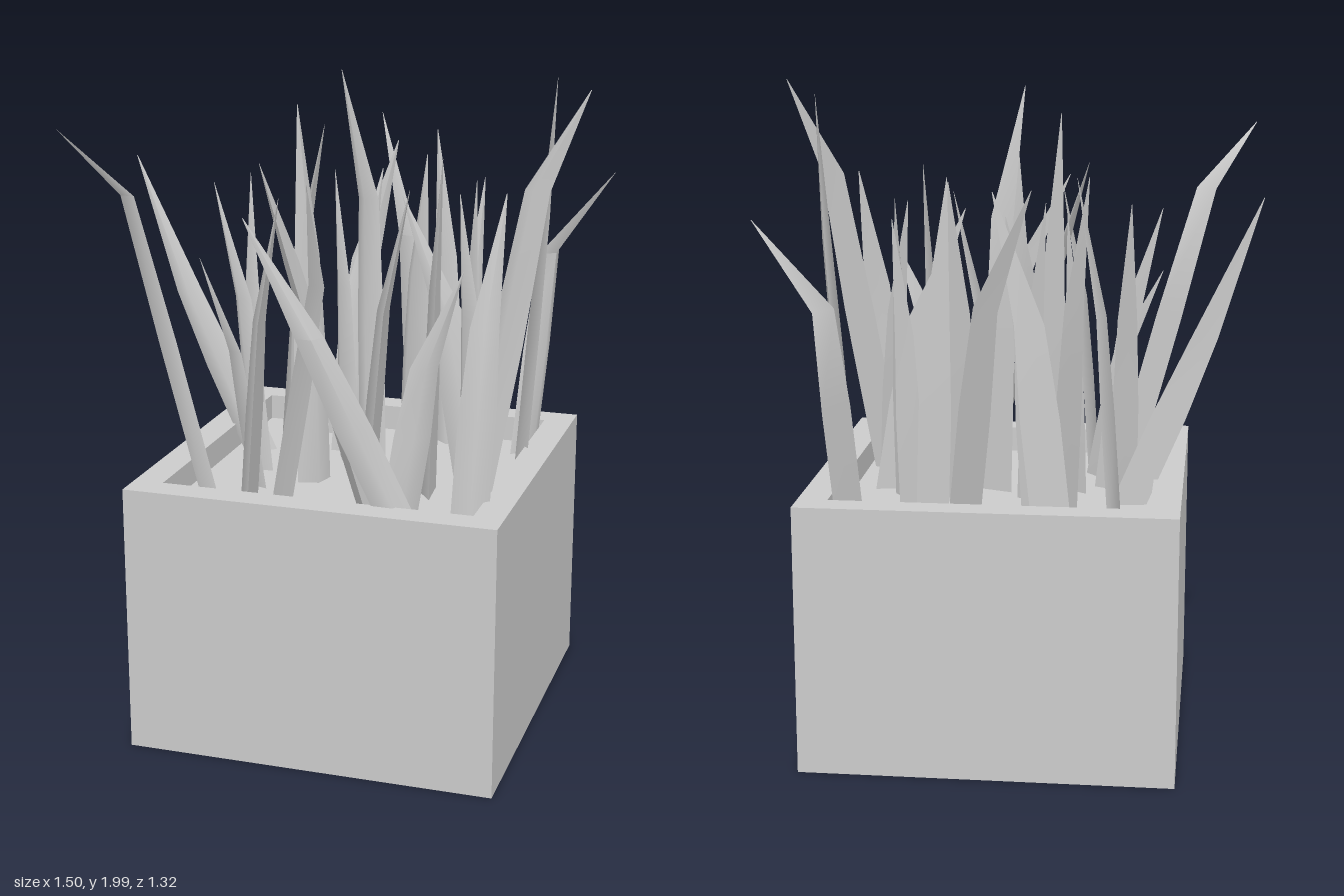
import * as THREE from 'three';
import { toCreasedNormals } from 'three/addons/utils/BufferGeometryUtils.js';

const CX = 0.03, CZ = 0.04;            // planter centre
const SIZE = 1.12, INNER = 0.94;       // outer and inner widths
const HEIGHT = 0.82, SOIL = 0.74;
const material = new THREE.MeshStandardMaterial({ color: 0xcccccc, side: THREE.DoubleSide });

// Outer bent leaves: base x,z | bend x,y,z | tip x,y,z | width, width direction in degrees
const OUTER = [
  [-0.33, 0.41, -0.58, 1.65, 0.40, -0.73, 1.85, 0.52, 0.10, 35],
  [-0.35, -0.10, -0.58, 1.25, -0.07, -0.75, 1.68, -0.08, 0.11, -8],
  [0.30, 0.48, 0.05, 1.32, 0.60, -0.12, 1.66, 0.66, 0.11, -28],
  [-0.15, 0.32, 0.03, 1.45, 0.50, 0.05, 1.75, 0.62, 0.12, 45],
  [0.15, 0.35, -0.12, 1.45, 0.27, -0.21, 1.74, 0.28, 0.14, 85],
  [0.42, 0.25, 0.60, 1.70, 0.26, 0.75, 1.99, 0.28, 0.11, 20],
  [0.46, -0.34, 0.51, 1.38, -0.42, 0.70, 1.64, -0.44, 0.13, -62],
  [0.48, -0.18, 0.54, 1.55, -0.18, 0.58, 1.97, -0.10, 0.11, 75],
  [0.10, -0.34, 0.02, 1.40, -0.46, -0.12, 1.76, -0.66, 0.16, 48],
  [0.05, 0.02, 0.03, 1.60, 0.00, -0.03, 1.99, 0.06, 0.10, 20],
];

// Upright inner leaves: base x,z | tip x,y,z | width, width direction in degrees
const INNER_LEAVES = [
  [-0.09, 0.14, -0.13, 1.90, 0.17, 0.11, -45],
  [-0.29, 0.08, -0.45, 1.63, 0.03, 0.09, 25],
  [-0.25, 0.22, -0.45, 1.42, 0.16, 0.11, 50],
  [-0.33, -0.29, -0.22, 1.76, -0.35, 0.12, 90],
  [-0.15, -0.34, 0.02, 1.72, -0.37, 0.12, -20],
  [0.20, -0.35, 0.15, 1.76, -0.36, 0.10, 10],
  [0.28, -0.25, 0.32, 1.63, -0.30, 0.08, -35],
  [0.12, -0.16, 0.18, 1.72, -0.13, 0.13, 35],
  [-0.18, -0.13, -0.24, 1.74, -0.14, 0.13, 50],
  [-0.09, -0.18, -0.01, 1.64, -0.30, 0.11, -35],
  [-0.06, -0.08, -0.11, 1.66, -0.12, 0.09, 35],
  [0.32, -0.09, 0.35, 1.66, -0.07, 0.10, 50],
  [-0.35, 0.01, -0.36, 1.65, -0.05, 0.10, 35],
  [-0.20, 0.03, -0.16, 1.60, 0.06, 0.08, 35],
  [0.38, 0.01, 0.15, 1.62, 0.03, 0.12, -12],
  [0.27, 0.15, 0.29, 1.75, 0.10, 0.12, 85],
  [0.39, 0.10, 0.33, 1.64, 0.05, 0.12, 40],
  [0.08, 0.17, 0.20, 1.66, 0.13, 0.13, 85],
  [0.23, 0.33, 0.41, 1.47, 0.31, 0.11, -25],
  [0.46, 0.41, 0.53, 1.70, 0.31, 0.11, -15],
  [-0.22, 0.39, -0.12, 1.66, 0.37, 0.12, 85],
];

// A ridged leaf of triangular section, tapering from the bend to a point
function leaf(base, bend, tip, width, degrees) {
  const a = THREE.MathUtils.degToRad(degrees);
  const side = new THREE.Vector3(Math.cos(a), 0, Math.sin(a));
  const ridge = new THREE.Vector3(-Math.sin(a), 0, Math.cos(a));
  const stations = [
    [base, 1], [base.clone().lerp(bend, 0.55), 1], [bend, 0.75], [tip, 0.02],
  ];
  const points = [], index = [];
  stations.forEach(([centre, scale], row) => {
    const w = width * scale;
    for (const [s, r] of [[0.5, -0.1], [-0.5, -0.1], [0, 0.2]]) {
      const p = centre.clone().addScaledVector(side, s * w).addScaledVector(ridge, r * w);
      points.push(p.x, p.y, p.z);
    }
    if (row === 0) return;
    for (let i = 0; i < 3; i++) {
      const j = (i + 1) % 3, low = (row - 1) * 3, up = row * 3;
      index.push(low + i, low + j, up + j, low + i, up + j, up + i);
    }
  });
  const geometry = new THREE.BufferGeometry();
  geometry.setAttribute('position', new THREE.Float32BufferAttribute(points, 3));
  geometry.setIndex(index);
  const mesh = new THREE.Mesh(toCreasedNormals(geometry, 1.2), material);
  mesh.name = 'leaf';
  return mesh;
}

function square(Path, size) {
  const h = size / 2;
  const path = new Path();
  path.moveTo(-h, -h).lineTo(h, -h).lineTo(h, h).lineTo(-h, h).closePath();
  return path;
}

export function createModel() {
  const model = new THREE.Group();
  model.name = 'pottedPlant';

  // Square planter wall with an open top
  const outline = square(THREE.Shape, SIZE);
  outline.holes.push(square(THREE.Path, INNER));
  const wallGeometry = new THREE.ExtrudeGeometry(outline, { depth: HEIGHT, bevelEnabled: false });
  wallGeometry.rotateX(-Math.PI / 2);
  const wall = new THREE.Mesh(wallGeometry, material);
  wall.name = 'planterWall';
  wall.position.set(CX, 0, CZ);
  model.add(wall);

  // Soil block, which also closes the underside
  const soil = new THREE.Mesh(new THREE.BoxGeometry(INNER, SOIL, INNER), material);
  soil.name = 'soil';
  soil.position.set(CX, SOIL / 2, CZ);
  model.add(soil);

  // Leaves
  const leaves = new THREE.Group();
  leaves.name = 'leaves';
  const foot = SOIL - 0.03;
  const V = (x, y, z) => new THREE.Vector3(x, y, z);
  for (const [bx, bz, mx, my, mz, tx, ty, tz, w, deg] of OUTER) {
    leaves.add(leaf(V(bx, foot, bz), V(mx, my, mz), V(tx, ty, tz), w, deg));
  }
  for (const [bx, bz, tx, ty, tz, w, deg] of INNER_LEAVES) {
    const base = V(bx, foot, bz), tip = V(tx, ty, tz);
    const bend = base.clone().lerp(tip, 0.4);
    bend.y = THREE.MathUtils.lerp(foot, ty, 0.62);
    leaves.add(leaf(base, bend, tip, w, deg));
  }
  model.add(leaves);
  return model;
}
